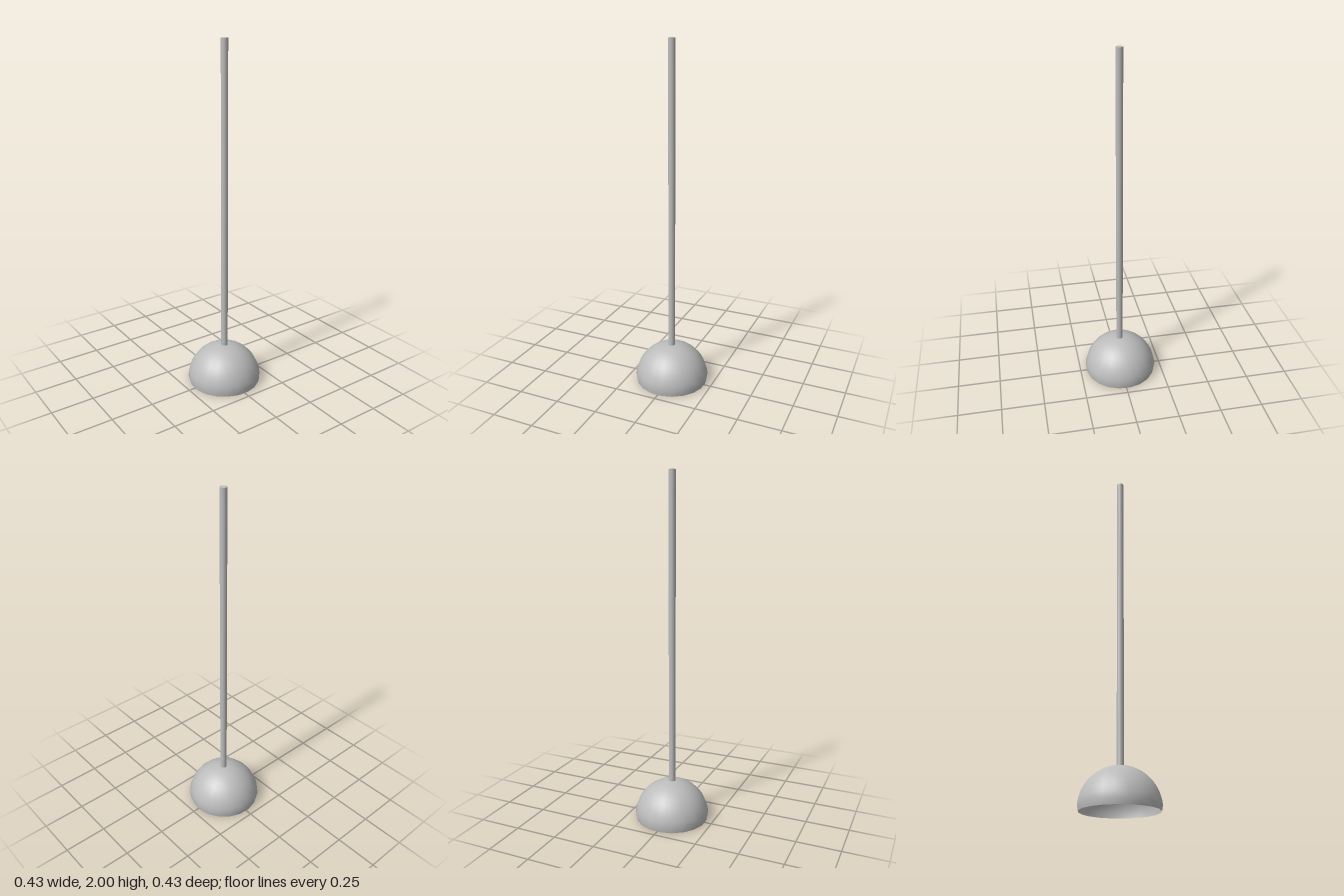
import * as THREE from 'three';

export function createModel() {
  const group = new THREE.Group();
  const grey = new THREE.MeshStandardMaterial({ color: 0xbcbcbc, side: THREE.DoubleSide });
  grey.name = 'plain grey';

  // Hollow dome, open below and slightly drawn in at the rim
  const radius = 0.217, centreY = 0.013;
  const profile = [new THREE.Vector2(0.211, 0)];
  for (let i = 0; i <= 10; i++) {
    const a = 0.08 + (Math.PI / 2 - 0.08) * i / 10;
    profile.push(new THREE.Vector2(Math.max(radius * Math.cos(a), 0), centreY + radius * Math.sin(a)));
  }
  const cup = new THREE.Mesh(new THREE.LatheGeometry(profile, 20, 0.1), grey);
  cup.name = 'cup';
  group.add(cup);

  // Long round handle rising from the crown of the dome
  const bottom = 0.215, top = 2;
  const handle = new THREE.Mesh(new THREE.CylinderGeometry(0.0195, 0.0195, top - bottom, 32), grey);
  handle.name = 'handle';
  handle.position.set(0, (top + bottom) / 2, 0.003);
  group.add(handle);

  return group;
}
